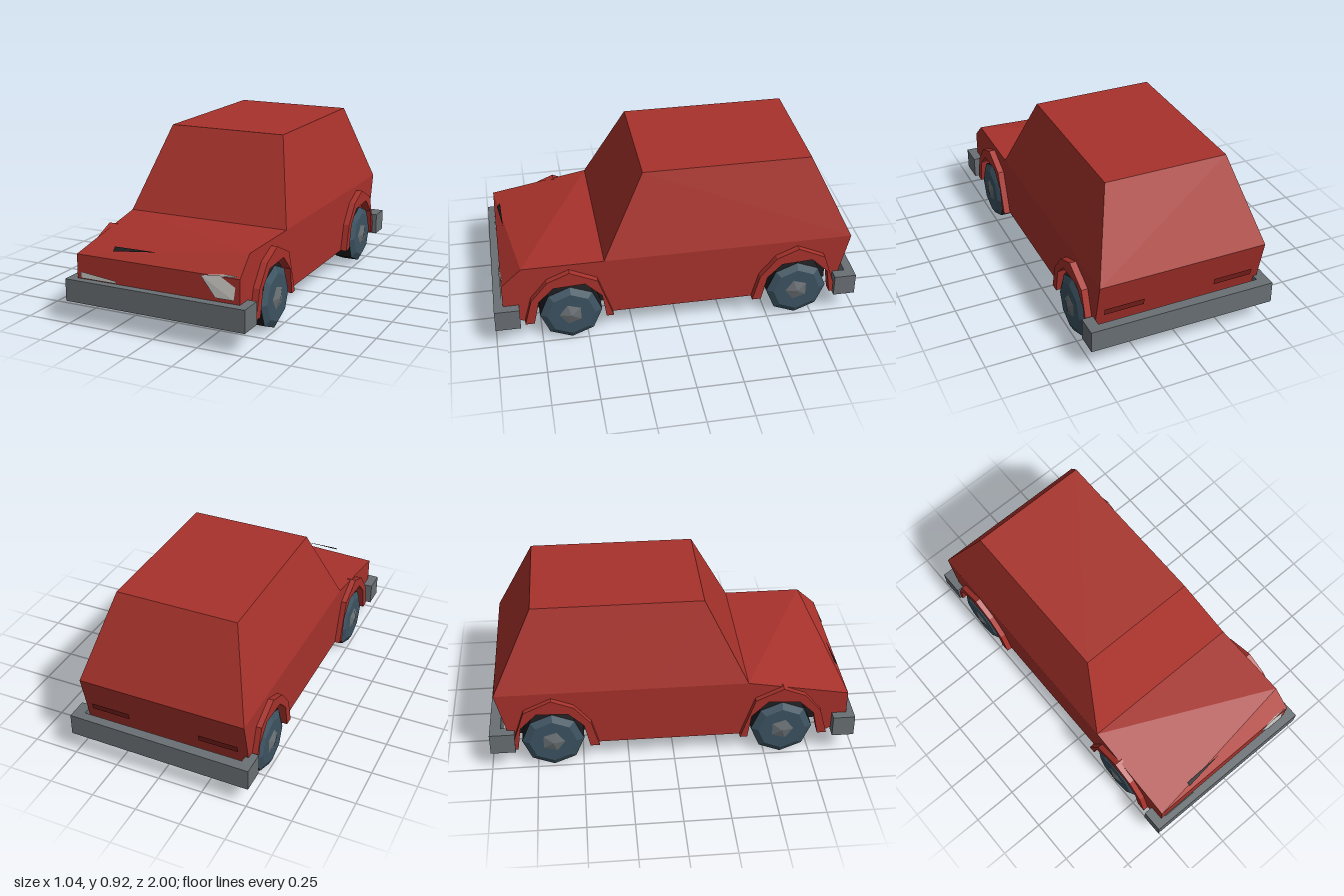
import * as THREE from 'three';

const mat = (color) => new THREE.MeshStandardMaterial({ color, flatShading: true, side: THREE.DoubleSide });
const red = mat(0xa8322b), darkRed = mat(0x7d211d), black = mat(0x1c1c1f), grey = mat(0x6a7074),
  teal = mat(0x3c5361), white = mat(0xcfcdc8);

const L = 0.46, R = -0.47;              // body flanks
const FRONT = 0.59, REAR = -0.66;       // axle positions
const AXLE_Y = 0.17, WHEEL_R = 0.168;

// wheel arch outlines as [z, y] offsets from the axle, front to back
const archInner = [[0.2, -0.04], [0.17, 0.1], [0.09, 0.18], [-0.08, 0.19], [-0.17, 0.1], [-0.19, -0.04]];
const archOuter = [[0.25, -0.04], [0.21, 0.11], [0.12, 0.22], [0, 0.27], [-0.15, 0.2], [-0.23, -0.04]];

const toShape = (pts) => new THREE.Shape(pts.map(([a, b]) => new THREE.Vector2(a, b)));

export function createModel() {
  const model = new THREE.Group();

  const add = (name, geometry, material, x = 0, y = 0, z = 0, parent = model) => {
    const mesh = new THREE.Mesh(geometry, material);
    mesh.name = name;
    mesh.position.set(x, y, z);
    parent.add(mesh);
    return mesh;
  };
  const box = (name, material, [x0, x1], [y0, y1], [z0, z1], parent = model) =>
    add(name, new THREE.BoxGeometry(x1 - x0, y1 - y0, z1 - z0), material,
      (x0 + x1) / 2, (y0 + y1) / 2, (z0 + z1) / 2, parent);
  // flat or gently folded panel: a fan over its corners, counter-clockwise from outside
  const panel = (name, material, corners, parent = model) => {
    const g = new THREE.BufferGeometry();
    const v = [];
    for (let i = 1; i < corners.length - 1; i++) v.push(...corners[0], ...corners[i], ...corners[i + 1]);
    g.setAttribute('position', new THREE.Float32BufferAttribute(v, 3));
    g.computeVertexNormals();
    return add(name, g, material, 0, 0, 0, parent);
  };

  // cabin: roof, windscreen, tailgate
  const roofX = 0.335, roofY = 0.92, waist = 0.47;
  const rf = 0.17, rb = -0.74, wf = 0.4, wb = -0.96;
  panel('roof', red, [[-roofX, roofY, rf], [roofX, roofY, rf], [roofX, roofY, rb], [-roofX, roofY, rb]]);
  panel('windscreen', red, [[R, waist, wf], [L, waist, wf], [roofX, roofY, rf], [-roofX, roofY, rf]]);
  panel('tailgate', red, [[L, waist, wb], [R, waist, wb], [-roofX, roofY, rb], [roofX, roofY, rb]]);
  panel('leftCabinSide', red, [[roofX, roofY, rf], [L, waist, wf], [L, waist, -0.11], [L, waist, wb], [roofX, roofY, rb]]);
  panel('rightCabinSide', red, [[-roofX, roofY, rf], [-roofX, roofY, rb], [R, waist, wb], [R, waist, -0.11], [R, waist, wf]]);

  // bonnet with its slanted leading edge, nose and tail
  panel('bonnet', red, [[R, waist, wf], [R, 0.37, 0.95], [L, waist, 0.84], [L, waist, wf]]);
  panel('noseLip', red, [[R, 0.37, 0.95], [L, 0.37, 0.95], [L, waist, 0.84]]);
  panel('nose', red, [[R, 0.2, 0.95], [L, 0.2, 0.95], [L, 0.37, 0.95], [R, 0.37, 0.95]]);
  panel('tailPanel', red, [[L, 0.18, -0.89], [R, 0.18, -0.89], [R, waist, wb], [L, waist, wb]]);

  // lower flanks with wheel cut-outs
  const cut = (z) => archInner.map(([dz, dy]) => [z + dz, AXLE_Y + dy]);
  for (const [name, x, shoulder] of [['leftFlank', L, [[0.84, waist]]], ['rightFlank', R, []]]) {
    const outline = [[wb, waist], [wf, waist], ...shoulder, [0.95, 0.37], [0.95, 0.2], [0.85, 0.13],
      ...cut(FRONT), ...cut(REAR), [-0.89, 0.18]];
    const g = new THREE.ShapeGeometry(toShape(outline));
    g.rotateY(-Math.PI / 2);
    // the shape's own x now runs along z
    if (x < 0) {
      const index = g.index.array;
      for (let i = 0; i < index.length; i += 3) [index[i], index[i + 1]] = [index[i + 1], index[i]];
    }
    // shape faces -x after the turn, so normals follow the winding
    g.computeVertexNormals();
    add(name, g, red, x);
  }

  // underside
  box('floor', black, [-0.45, 0.44], [0.125, 0.15], [-0.44, 0.38]);
  box('chassisCore', black, [-0.36, 0.36], [0.13, 0.36], [-0.86, 0.86]);
  box('underTray', black, [-0.26, 0.255], [0.08, 0.14], [-0.86, 0.82]);

  // bumpers: bar with ends wrapped round the body
  for (const [name, s] of [['frontBumper', 1], ['rearBumper', -1]]) {
    const plan = toShape([[-0.52, 0.87], [-0.52, 0.99], [0.51, 1], [0.51, 0.865],
      [0.45, 0.865], [0.45, 0.94], [-0.46, 0.94], [-0.46, 0.87]]);
    const g = new THREE.ExtrudeGeometry(plan, { depth: 0.12, bevelEnabled: false });
    g.rotateX(Math.PI / 2);
    const bar = add(name, g, grey, 0, 0.24, 0);
    if (s < 0) bar.rotation.y = Math.PI;
  }

  // wheels and flared arches
  const archShape = toShape([...archOuter, ...archInner.slice().reverse()]);
  for (const [end, z] of [['front', FRONT], ['rear', REAR]]) {
    for (const [side, s] of [['Left', 1], ['Right', -1]]) {
      const wheel = new THREE.Group();
      wheel.name = end + side + 'Wheel';
      wheel.position.set(0, AXLE_Y, z);
      model.add(wheel);
      const ring = (name, rIn, rOut, len, x, material) => {
        const g = new THREE.CylinderGeometry(rOut, rIn, len, 8);
        g.rotateZ(-s * Math.PI / 2);
        add(name, g, material, s * x, 0, 0, wheel);
      };
      ring('tyre', WHEEL_R, WHEEL_R, 0.1, 0.43, black);
      ring('rim', WHEEL_R, 0.13, 0.02, 0.49, teal);
      const hub = new THREE.ConeGeometry(0.08, 0.02, 5);
      hub.rotateZ(-s * Math.PI / 2);
      add('hubCap', hub, grey, s * 0.506, 0, 0, wheel);

      const flare = new THREE.ExtrudeGeometry(archShape, { depth: 0.05, bevelEnabled: false });
      flare.rotateY(-Math.PI / 2);
      add(end + side + 'Arch', flare, red, s > 0 ? 0.495 : -0.45, AXLE_Y, z);
    }
  }

  // lamps, grille slot and tail lamps
  const face = (name, material, pts, z) => panel(name, material, pts.map(([x, y]) => [x, y, z - Math.max(0, y - 0.37) * 1.1]));
  face('leftHeadlamp', white, [[0.25, 0.365], [0.33, 0.26], [0.43, 0.26], [0.44, 0.382], [0.37, 0.382]], 0.957);
  face('rightHeadlamp', white, [[-0.445, 0.28], [-0.445, 0.245], [-0.235, 0.245], [-0.235, 0.258]], 0.957);
  panel('grilleSlot', black, [[-0.26, 0.408, 0.935], [-0.02, 0.428, 0.91], [-0.26, 0.428, 0.915]]);
  for (const s of [1, -1]) {
    const x = s * 0.31;
    panel(s > 0 ? 'leftTailLamp' : 'rightTailLamp', darkRed,
      [[x + 0.11, 0.27, -0.919], [x - 0.11, 0.27, -0.919], [x - 0.11, 0.31, -0.929], [x + 0.11, 0.31, -0.929]]);
  }

  return model;
}
